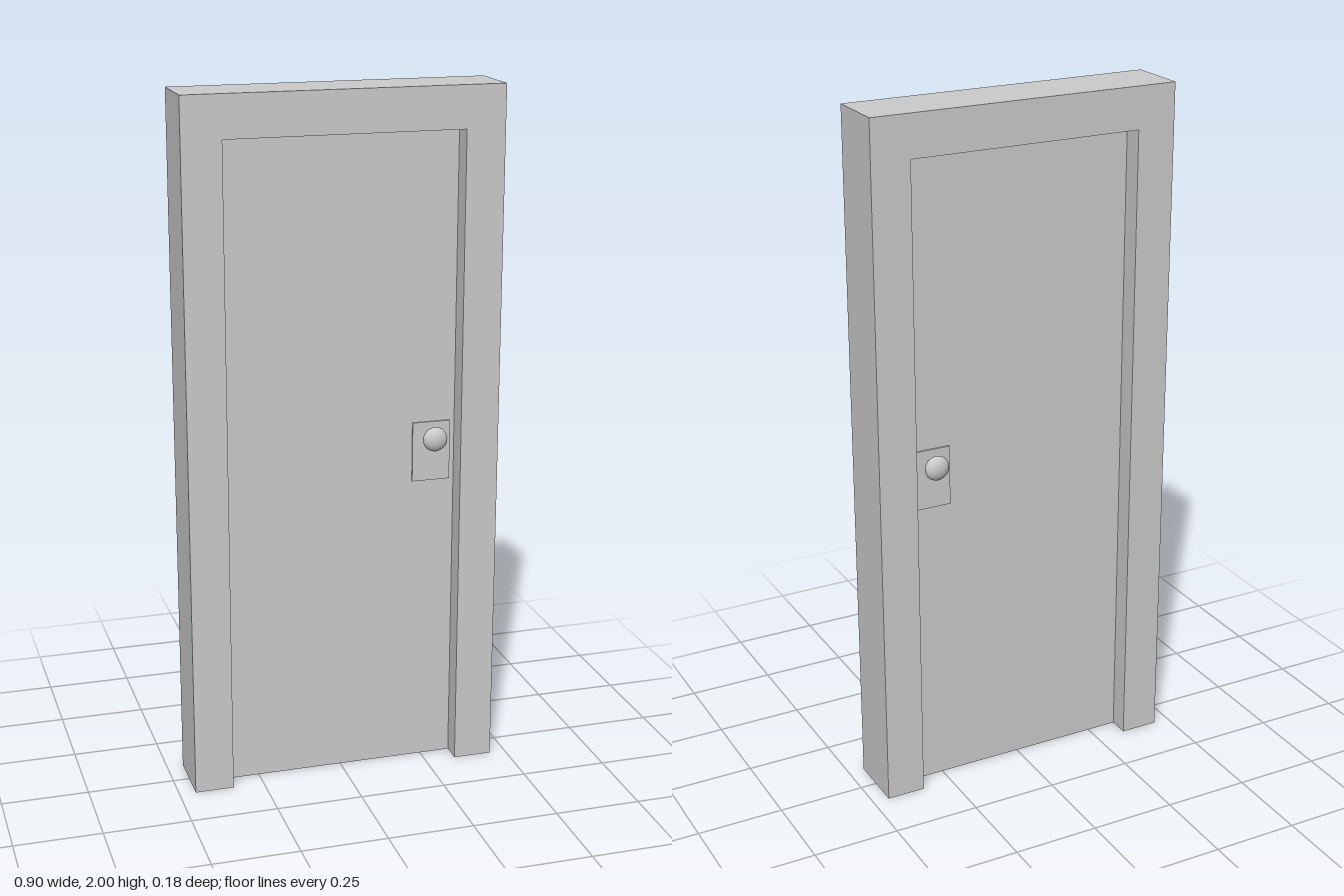
import * as THREE from 'three';

const W = 0.4525, D = 0.09;            // outer half width and half depth
const INNER_X = 0.34, INNER_TOP = 1.88; // door opening
const DOOR_Z = 0.03, PLATE_T = 0.005;

export function createModel() {
  const model = new THREE.Group();
  const mat = new THREE.MeshStandardMaterial({ color: 0xcccccc });

  const add = (parent, name, geometry) => {
    const mesh = new THREE.Mesh(geometry, mat);
    mesh.name = name;
    parent.add(mesh);
    return mesh;
  };

  // Frame: two jambs and a head as one extruded outline
  const outline = new THREE.Shape([
    [-W, 0], [-INNER_X, 0], [-INNER_X, INNER_TOP], [INNER_X, INNER_TOP],
    [INNER_X, 0], [W, 0], [W, 2], [-W, 2],
  ].map(([x, y]) => new THREE.Vector2(x, y)));
  const frame = new THREE.ExtrudeGeometry(outline, { depth: 2 * D, bevelEnabled: false });
  add(model, 'doorFrame', frame.translate(0, 0, -D));

  // Door slab, recessed equally on both sides
  const slab = new THREE.BoxGeometry(2 * INNER_X, INNER_TOP, 2 * DOOR_Z);
  add(model, 'doorPanel', slab.translate(0, INNER_TOP / 2, 0));

  // Knob profile: neck, then a flattened ball
  const profile = [[0.016, 0], [0.016, 0.018]];
  for (let i = 0; i <= 10; i++) {
    const a = -1.1 + (i / 10) * (1.1 + Math.PI / 2);
    profile.push([Math.max(0, 0.036 * Math.cos(a)), 0.034 + 0.02 * Math.sin(a)]);
  }
  const knob = new THREE.LatheGeometry(profile.map(([r, y]) => new THREE.Vector2(r, y)), 20);
  knob.rotateX(Math.PI / 2);

  // Plate and knob on each face of the door
  for (const side of [1, -1]) {
    const handle = new THREE.Group();
    handle.name = side > 0 ? 'frontHandle' : 'backHandle';
    handle.position.set(0.27, 1, side * DOOR_Z);
    if (side < 0) handle.rotation.y = Math.PI;
    add(handle, 'lockPlate', new THREE.BoxGeometry(0.112, 0.175, PLATE_T))
      .position.set(0, -0.045, PLATE_T / 2);
    add(handle, 'knob', knob).position.z = PLATE_T;
    model.add(handle);
  }
  return model;
}
